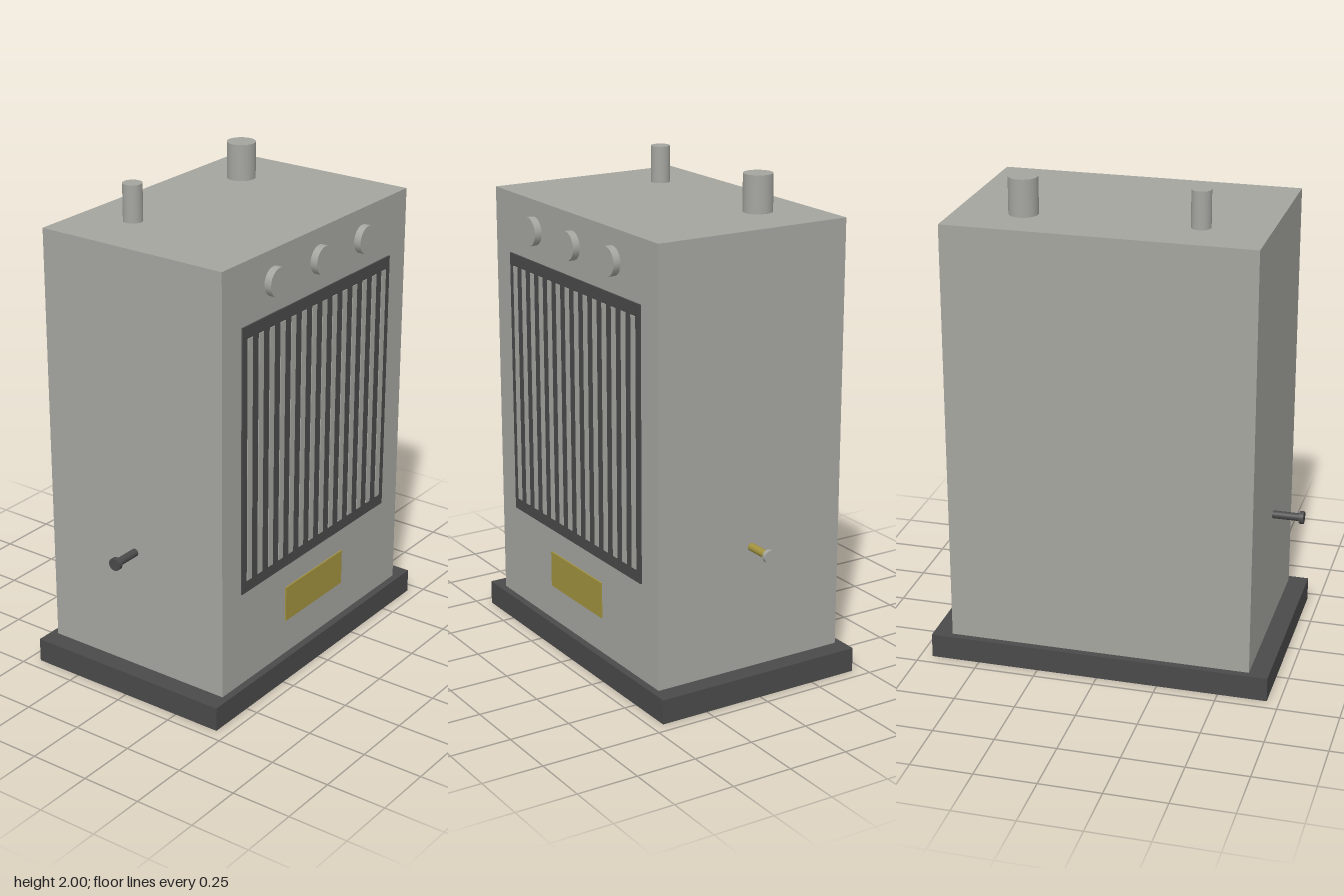
import * as THREE from 'three';

const mat = (name, color) => {
  const m = new THREE.MeshStandardMaterial({ color });
  m.name = name;
  return m;
};

export function createModel() {
  const grey = mat('warm grey', 0xa5a5a0);
  const dark = mat('dark grey', 0x4a4a4a);
  const brass = mat('brass', 0xa2923f);
  const model = new THREE.Group();
  model.name = 'heater';

  const add = (name, geometry, material, x, y, z) => {
    const mesh = new THREE.Mesh(geometry, material);
    mesh.name = name;
    mesh.position.set(x, y, z);
    model.add(mesh);
    return mesh;
  };
  const box = (name, w, h, d, material, x, y, z) =>
    add(name, new THREE.BoxGeometry(w, h, d), material, x, y, z);
  const cylinder = (name, r, length, material, x, y, z) =>
    add(name, new THREE.CylinderGeometry(r, r, length, 24), material, x, y, z);

  // Plinth and cabinet
  box('base', 1.4, 0.1, 0.9, dark, 0, 0.05, 0);
  box('cabinet', 1.24, 1.75, 0.84, grey, 0, 0.975, 0);

  // Front grille: dark panel with fourteen pale slats
  box('grillePanel', 1, 1.1, 0.008, dark, 0, 1.05, 0.422);
  for (let i = 0; i < 14; i++) {
    box('grilleSlat', 0.03, 1, 0.008, grey, (i - 6.5) * 0.07, 1.05, 0.425);
  }

  // Label plate
  box('plate', 0.4, 0.15, 0.008, brass, 0, 0.325, 0.422);

  // Control knobs
  for (const x of [-0.3, 0, 0.3]) {
    cylinder('knob', 0.058, 0.04, grey, x, 1.725, 0.43).rotation.x = Math.PI / 2;
  }

  // Roof pipes
  cylinder('narrowPipe', 0.039, 0.16, grey, -0.35, 1.92, -0.2);
  cylinder('widePipe', 0.059, 0.16, grey, 0.35, 1.92, -0.2);

  // Side valves: stem and end cap
  for (const [side, stem, cap] of [[1, brass, grey], [-1, dark, dark]]) {
    cylinder('valveStem', 0.016, 0.13, stem, side * 0.67, 0.603, -0.003).rotation.z = Math.PI / 2;
    cylinder('valveCap', 0.026, 0.018, cap, side * 0.739, 0.603, -0.003).rotation.z = Math.PI / 2;
  }

  return model;
}
